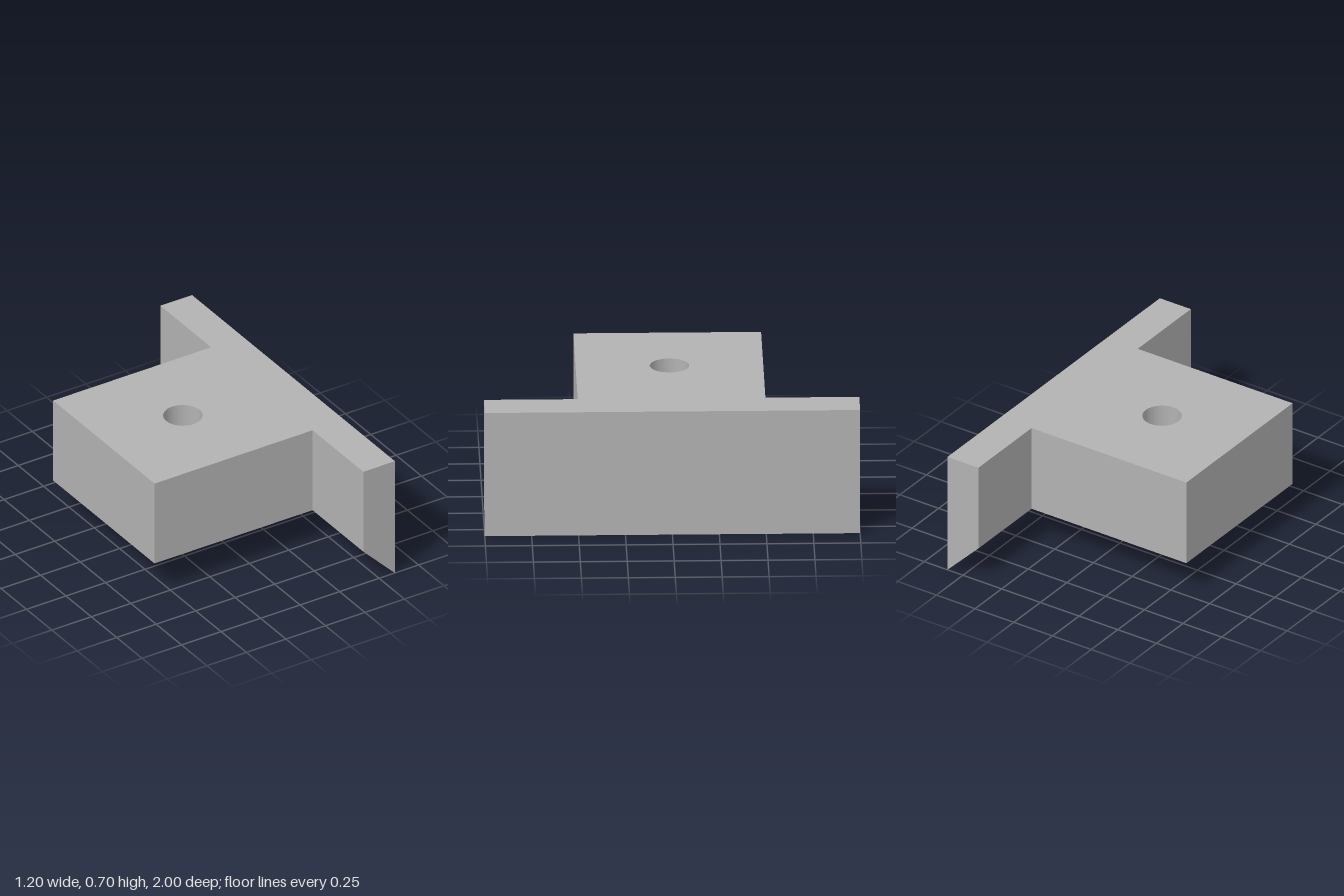
import * as THREE from 'three';
import { toCreasedNormals } from 'three/addons/utils/BufferGeometryUtils.js';

const HOLE_X = -0.1;

export function createModel() {
  const group = new THREE.Group();
  const grey = new THREE.MeshStandardMaterial({ color: 0xb2b2b2 });
  grey.name = 'plain grey';

  const add = (name, geometry) => {
    const mesh = new THREE.Mesh(toCreasedNormals(geometry, 0.6), grey);
    mesh.name = name;
    group.add(mesh);
  };

  // Horizontal block slab between two heights, pierced by a round hole
  const slab = (name, y0, y1, radius) => {
    const shape = new THREE.Shape([
      new THREE.Vector2(-0.6, -0.5), new THREE.Vector2(0.4, -0.5),
      new THREE.Vector2(0.4, 0.5), new THREE.Vector2(-0.6, 0.5),
    ]);
    shape.holes.push(new THREE.Path().absarc(HOLE_X, 0, radius, 0, Math.PI * 2, true));
    const geometry = new THREE.ExtrudeGeometry(shape, {
      depth: y1 - y0, bevelEnabled: false, curveSegments: 32,
    });
    geometry.rotateX(-Math.PI / 2).translate(0, y0, 0);
    add(name, geometry);
  };

  // Block: narrow bolt hole above, wide counterbore below
  slab('blockWithBoltHole', 0.45, 0.7, 0.105);
  slab('blockWithCounterbore', 0.2, 0.45, 0.305);

  // Long end plate with a slanted lower edge
  const profile = new THREE.Shape([
    new THREE.Vector2(0.4, 0.2), new THREE.Vector2(0.6, 0),
    new THREE.Vector2(0.6, 0.7), new THREE.Vector2(0.4, 0.7),
  ]);
  const plate = new THREE.ExtrudeGeometry(profile, { depth: 2, bevelEnabled: false });
  plate.translate(0, 0, -1);
  add('endPlate', plate);

  return group;
}
